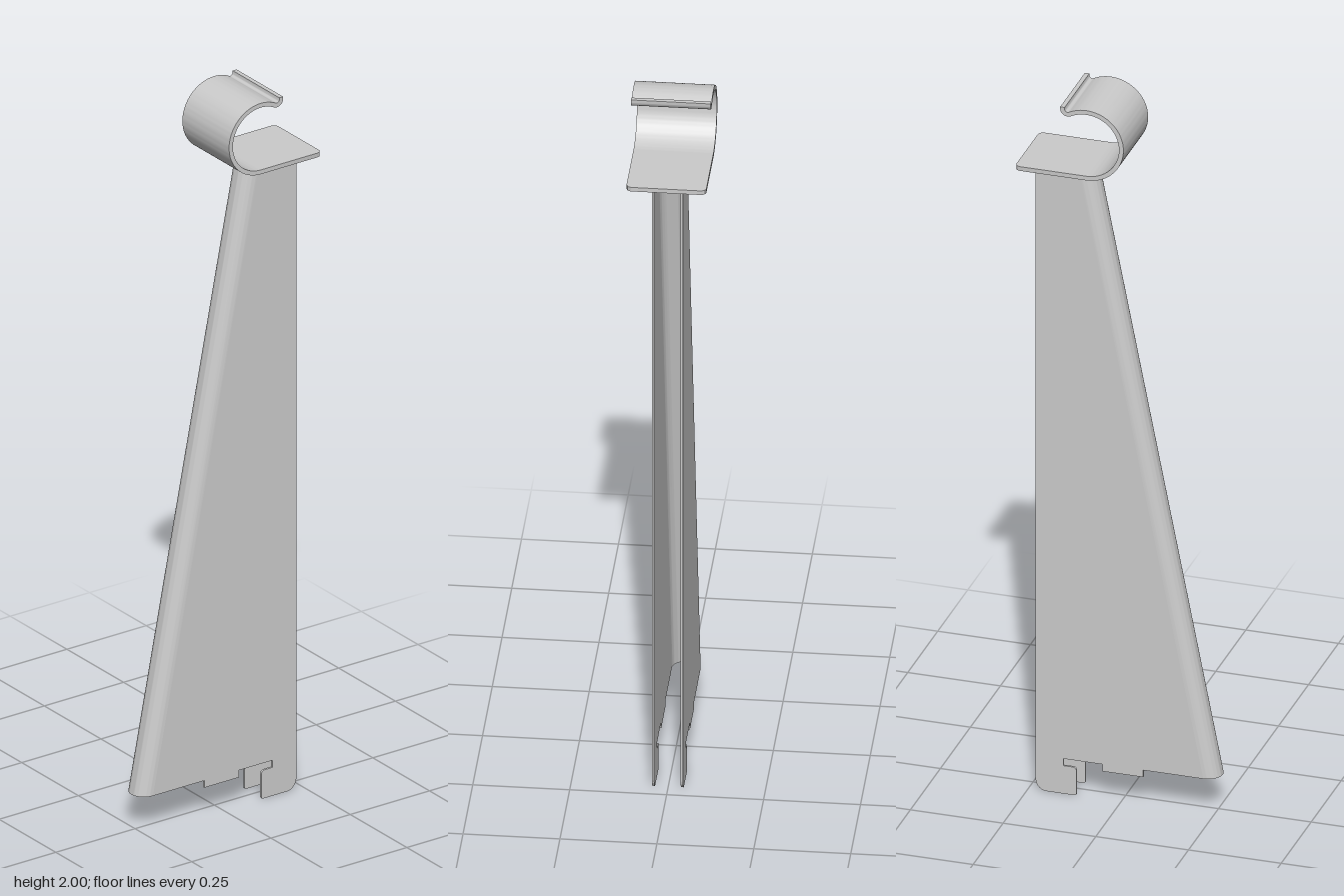
import * as THREE from 'three';
import { toCreasedNormals } from 'three/addons/utils/BufferGeometryUtils.js';

const HALF = 0.04;        // half width of the folded bracket
const SHEET = 0.006;      // bracket sheet thickness
const BOTTOM = 0.1, TOP = 1.8;
const SLOPE = -0.336 / 1.7; // lean of the front edge
const NOSE_Z = 0.222;     // where the rounded nose meets the sides at BOTTOM
const CLIP_W = 0.206, CLIP_T = 0.012;

// Extrude a (z, y) profile across x, centred on x = 0
function extrudeAcross(shape, width) {
  const g = new THREE.ExtrudeGeometry(shape, { depth: width, bevelEnabled: false, curveSegments: 12 });
  g.translate(0, 0, -width / 2);
  g.rotateY(-Math.PI / 2);
  return g;
}

// Side plate with the stepped foot and the hook
function sideGeometry() {
  const s = new THREE.Shape();
  s.moveTo(NOSE_Z, BOTTOM);
  s.lineTo(0.06, BOTTOM);
  s.lineTo(0.06, 0.08);
  s.lineTo(-0.05, 0.08);
  s.lineTo(-0.05, BOTTOM);
  s.lineTo(-0.155, BOTTOM);
  s.lineTo(-0.155, 0.08);
  s.lineTo(-0.132, 0.08);
  s.quadraticCurveTo(-0.12, 0.08, -0.12, 0.068);
  s.lineTo(-0.12, 0.006);
  s.quadraticCurveTo(-0.12, 0, -0.126, 0);
  s.lineTo(-0.2, 0);
  s.absarc(-0.2, 0.03, 0.03, -Math.PI / 2, -Math.PI, true);
  s.lineTo(-0.23, TOP);
  s.lineTo(NOSE_Z + SLOPE * (TOP - BOTTOM), TOP);
  s.closePath();
  return toCreasedNormals(extrudeAcross(s, SHEET), 0.5);
}

// Half-round front fold, sheared so that it leans back
function noseGeometry() {
  const s = new THREE.Shape();
  s.absarc(0, 0, HALF, Math.PI, 2 * Math.PI, false);
  s.absarc(0, 0, HALF - SHEET, 2 * Math.PI, Math.PI, true);
  s.closePath();
  const g = new THREE.ExtrudeGeometry(s, { depth: TOP - BOTTOM, bevelEnabled: false, curveSegments: 24 });
  g.rotateX(-Math.PI / 2);
  const p = g.attributes.position;
  for (let i = 0; i < p.count; i++) p.setZ(i, p.getZ(i) + NOSE_Z + SLOPE * p.getY(i));
  g.translate(0, BOTTOM, 0);
  g.computeVertexNormals();
  return toCreasedNormals(g, 0.5);
}

// Open ring that ends in a small upturned lip
function ringGeometry() {
  const cz = -0.073, cy = 1.9, R = 0.1 - CLIP_T / 2, r = 0.014;
  const end = Math.PI / 2 + THREE.MathUtils.degToRad(28);
  const outer = [], inner = [];
  const add = (z, y, nz, ny) => {
    outer.push(new THREE.Vector2(z + nz * CLIP_T / 2, y + ny * CLIP_T / 2));
    inner.push(new THREE.Vector2(z - nz * CLIP_T / 2, y - ny * CLIP_T / 2));
  };
  for (let i = 0; i <= 56; i++) {
    const a = -Math.PI / 2 + (end + Math.PI / 2) * i / 56;
    add(cz + R * Math.cos(a), cy + R * Math.sin(a), Math.cos(a), Math.sin(a));
  }
  const lz = cz + (R + r) * Math.cos(end), ly = cy + (R + r) * Math.sin(end);
  const from = end - Math.PI;
  for (let i = 1; i <= 12; i++) {
    const a = from + (-Math.PI - from) * i / 12;
    add(lz + r * Math.cos(a), ly + r * Math.sin(a), -Math.cos(a), -Math.sin(a));
  }
  add(lz - r, 2, 1, 0);
  return toCreasedNormals(extrudeAcross(new THREE.Shape([...outer, ...inner.reverse()]), CLIP_W), 0.5);
}

// Flat plate with rounded back corners
function plateGeometry() {
  const w = CLIP_W / 2, front = 0.073, back = 0.266, r = 0.015;
  const s = new THREE.Shape();
  s.moveTo(-w, front);
  s.lineTo(w, front);
  s.absarc(w - r, back - r, r, 0, Math.PI / 2, false);
  s.absarc(-w + r, back - r, r, Math.PI / 2, Math.PI, false);
  s.closePath();
  const g = new THREE.ExtrudeGeometry(s, { depth: CLIP_T, bevelEnabled: false, curveSegments: 8 });
  g.rotateX(-Math.PI / 2);
  g.translate(0, TOP, 0);
  return toCreasedNormals(g, 0.5);
}

export function createModel() {
  const model = new THREE.Group();
  model.name = 'bracket';
  const material = new THREE.MeshStandardMaterial({ color: 0xcccccc, side: THREE.DoubleSide });
  const add = (name, geometry, x = 0) => {
    const mesh = new THREE.Mesh(geometry, material);
    mesh.name = name;
    mesh.position.x = x;
    model.add(mesh);
  };

  // Folded sheet bracket
  const side = sideGeometry();
  add('leftSide', side, HALF - SHEET / 2);
  add('rightSide', side, -HALF + SHEET / 2);
  add('roundedNose', noseGeometry());

  // Rail clip on top
  add('clipPlate', plateGeometry());
  add('clipRing', ringGeometry());
  return model;
}
